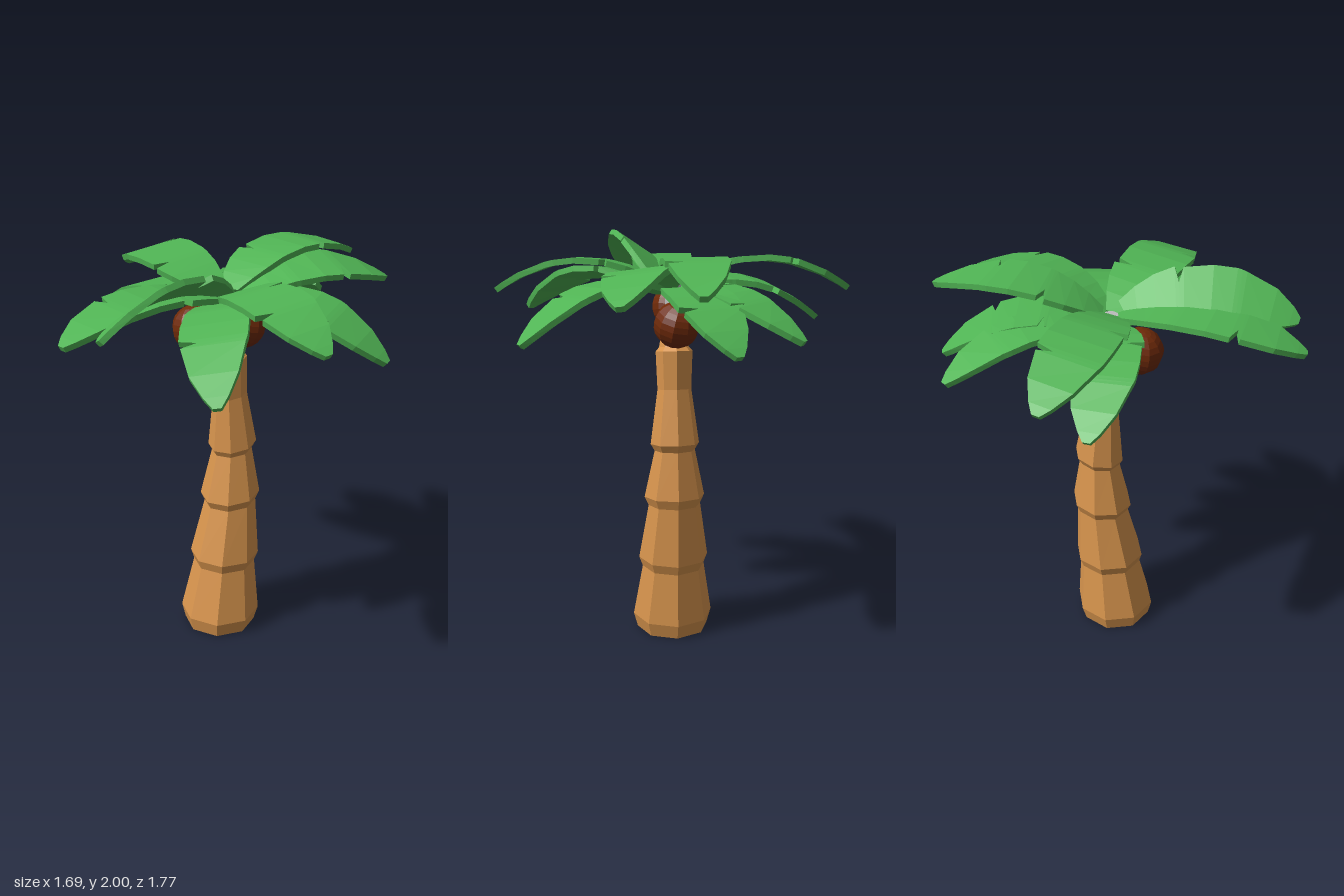
import * as THREE from 'three';

const mat = (name, color) => {
  const m = new THREE.MeshStandardMaterial({ color });
  m.name = name;
  return m;
};

// Gives every face its own normal for a low-poly look
function faceted(geometry) {
  const g = geometry.index ? geometry.toNonIndexed() : geometry;
  g.computeVertexNormals();
  return g;
}

// Joins rings of points (counterclockwise about the loft direction) and caps both ends
function loft(rings) {
  const n = rings[0].length;
  const index = [];
  for (let i = 0; i < rings.length - 1; i++) {
    for (let j = 0; j < n; j++) {
      const a = i * n + j, b = i * n + (j + 1) % n;
      index.push(a, b, b + n, a, b + n, a + n);
    }
  }
  const last = (rings.length - 1) * n;
  for (let j = 1; j < n - 1; j++) {
    index.push(0, j + 1, j, last, last + j, last + j + 1);
  }
  const g = new THREE.BufferGeometry().setFromPoints(rings.flat());
  g.setIndex(index);
  return faceted(g);
}

// Trunk rings: height, radius, z offset, tilt
const TRUNK = [
  [0, 0.182, 0, 0], [0.075, 0.202, -0.003, 0],
  [0.35, 0.157, -0.032, 0], [0.4, 0.175, -0.034, 0],
  [0.69, 0.13, -0.071, -0.08], [0.735, 0.15, -0.071, -0.1],
  [0.975, 0.1, -0.082, -0.12], [1.01, 0.12, -0.085, -0.15],
  [1.28, 0.083, -0.068, -0.18], [1.465, 0.09, -0.058, -0.2],
  [1.485, 0.072, -0.05, -0.2], [1.61, 0.048, -0.018, -0.1],
  [1.645, 0.048, -0.014, -0.1],
];

function trunkGeometry() {
  return loft(TRUNK.map(([y, r, z, tilt]) => Array.from({ length: 8 }, (_, i) => {
    const a = i * Math.PI / 4;
    const dz = r * Math.cos(a);
    return new THREE.Vector3(r * Math.sin(a), y + dz * tilt, z + dz);
  })));
}

// Frond outline: position along the frond, left and right half width (dips are notches)
const OUTLINE = [
  [0, 0.05, 0.05], [0.1, 0.1, 0.09], [0.2, 0.135, 0.12],
  [0.305, 0.155, 0.138], [0.325, 0.07, 0.14], [0.35, 0.146, 0.144],
  [0.5, 0.152, 0.152], [0.62, 0.148, 0.152], [0.645, 0.144, 0.07],
  [0.67, 0.138, 0.142], [0.84, 0.1, 0.108], [0.95, 0.05, 0.055], [1, 0.016, 0.02],
];
const THICK = 0.014;

function frondGeometry({ base, mid, tip, roll = 0, width = 1 }) {
  const [p0, m, p2] = [base, mid, tip].map((p) => new THREE.Vector3(...p));
  const control = m.multiplyScalar(2).addScaledVector(p0, -0.5).addScaledVector(p2, -0.5);
  const path = new THREE.QuadraticBezierCurve3(p0, control, p2);
  return loft(OUTLINE.map(([t, l, r]) => {
    const centre = path.getPoint(t);
    const along = path.getTangent(t);
    const side = new THREE.Vector3().crossVectors(along, new THREE.Vector3(0, 1, 0)).normalize();
    side.applyAxisAngle(along, roll);
    const up = new THREE.Vector3().crossVectors(side, along);
    const corner = (s, u) => centre.clone().addScaledVector(side, s * width).addScaledVector(up, u);
    return [corner(-l, THICK), corner(r, THICK), corner(r, -THICK), corner(-l, -THICK)];
  }));
}

// Fronds in order around the crown, starting at the back
const FRONDS = [
  { base: [0, 1.8, -0.07], mid: [-0.035, 1.95, -0.45], tip: [0, 1.85, -0.88], width: 0.95 },
  { base: [0.04, 1.77, -0.06], mid: [0.2, 1.9, -0.41], tip: [0.33, 1.8, -0.78], roll: 0.15 },
  { base: [0.06, 1.75, -0.04], mid: [0.4, 1.79, -0.2], tip: [0.735, 1.57, -0.36], roll: 0.1 },
  { base: [0.04, 1.78, -0.01], mid: [0.45, 1.89, 0.09], tip: [0.835, 1.75, 0.13], roll: 0.12 },
  { base: [0.06, 1.75, 0], mid: [0.35, 1.805, 0.33], tip: [0.67, 1.59, 0.59], roll: 0.18 },
  { base: [0.06, 1.78, 0], mid: [0.11, 1.9, 0.42], tip: [0.175, 1.79, 0.81], roll: 0.6 },
  { base: [0.04, 1.78, 0], mid: [-0.01, 1.855, 0.45], tip: [-0.01, 1.73, 0.875] },
  { base: [-0.02, 1.75, 0], mid: [-0.38, 1.78, 0.06], tip: [-0.73, 1.59, 0.07], width: 0.95 },
  { base: [-0.01, 1.79, -0.01], mid: [-0.45, 1.9, -0.035], tip: [-0.835, 1.76, -0.11], roll: -0.14 },
  { base: [-0.03, 1.75, -0.05], mid: [-0.22, 1.78, -0.38], tip: [-0.48, 1.61, -0.66], width: 0.85 },
  { base: [-0.01, 1.74, -0.07], mid: [-0.07, 1.78, -0.45], tip: [-0.17, 1.58, -0.79] },
];

export function createModel() {
  const bark = mat('bark', 0xd7944d);
  const leaf = mat('leaf', 0x50b454);
  const shell = mat('coconutShell', 0x6f2a09);
  const core = mat('crownCore', 0xbcbcbc);

  const palm = new THREE.Group();
  palm.name = 'palmTree';
  const add = (name, geometry, material, parent = palm) => {
    const mesh = new THREE.Mesh(geometry, material);
    mesh.name = name;
    parent.add(mesh);
    return mesh;
  };

  add('trunk', trunkGeometry(), bark);

  // Short stem between trunk and fronds
  add('crownStem', faceted(new THREE.CylinderGeometry(0.038, 0.038, 0.16, 8)), core)
    .position.set(0, 1.72, -0.025);

  const crown = new THREE.Group();
  crown.name = 'crown';
  palm.add(crown);
  FRONDS.forEach((f, i) => add(`frond${i + 1}`, frondGeometry(f), leaf, crown));

  // Coconuts in front of and behind the trunk top
  [[-0.03, 1.65, 0.123, 0.25], [0, 1.61, -0.15, -0.25]].forEach(([x, y, z, lean], i) => {
    const nut = add(`coconut${i + 1}`, faceted(new THREE.SphereGeometry(0.111, 10, 12)), shell);
    nut.position.set(x, y, z);
    nut.rotation.set(lean, 0, 0.15);
  });

  return palm;
}
